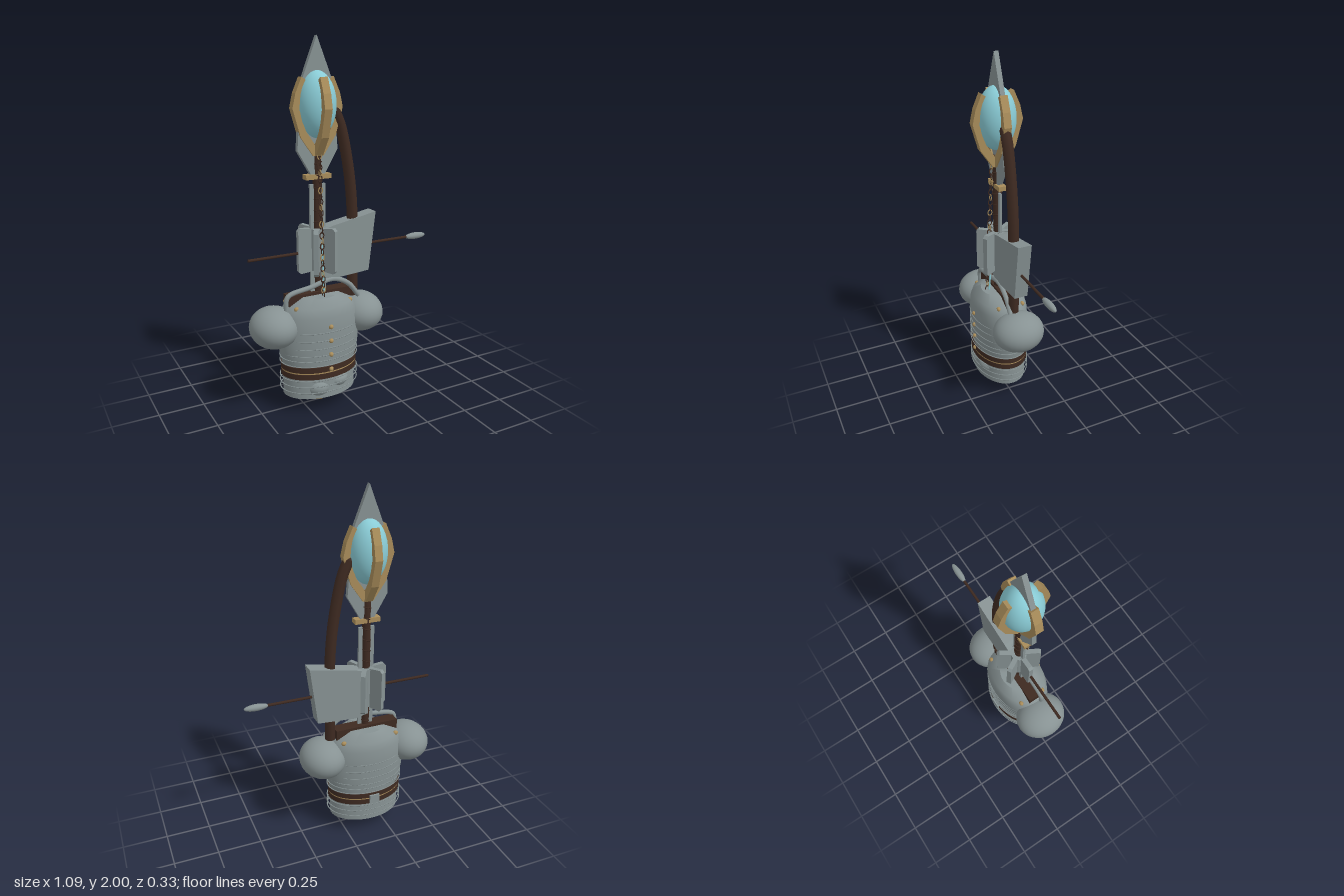
import * as THREE from 'three';
import { toCreasedNormals } from 'three/addons/utils/BufferGeometryUtils.js';

const CX = -0.15; // axis shared by the armour and the upright weapons

export function createModel() {
  const root = new THREE.Group();
  root.name = 'armourAndWeapons';
  const mat = (name, color) => {
    const m = new THREE.MeshStandardMaterial({ color });
    m.name = name;
    return m;
  };
  const steel = mat('steel', 0x879293);
  const wood = mat('darkBrown', 0x3e2a21);
  const gold = mat('brass', 0xa88c5a);
  const crystal = mat('paleBlue', 0x8accd6);

  const add = (name, geo, material, x = 0, y = 0, z = 0) => {
    const m = new THREE.Mesh(geo, material);
    m.name = name;
    m.position.set(x, y, z);
    root.add(m);
    return m;
  };
  const box = (name, w, h, d, material, x, y, z) =>
    add(name, new THREE.BoxGeometry(w, h, d), material, x, y, z);
  const ball = (name, rx, ry, rz, material, x, y, z) =>
    add(name, new THREE.SphereGeometry(1, 28, 18), material, x, y, z).scale.set(rx, ry, rz);
  const tube = (name, pts, r, material, sides = 8, steps = 24) => {
    const curve = new THREE.CatmullRomCurve3(pts.map(p => new THREE.Vector3(...p)));
    return add(name, new THREE.TubeGeometry(curve, steps, r, sides), material);
  };
  // Turned shell with its own width and depth at each height: rows of [y, rx, rz]
  const shell = (name, rows, material) => {
    const geo = new THREE.LatheGeometry(rows.map(([y, rx]) => new THREE.Vector2(rx, y)), 40);
    const p = geo.attributes.position;
    for (let i = 0; i < p.count; i++) {
      const [, rx, rz] = rows[i % rows.length];
      if (rx > 0) p.setZ(i, p.getZ(i) * rz / rx);
    }
    return add(name, toCreasedNormals(geo, 0.7), material, CX);
  };
  const plate = (name, pts, depth, material, x = 0, y = 0, z = 0) => {
    const geo = new THREE.ExtrudeGeometry(
      new THREE.Shape(pts.map(p => new THREE.Vector2(...p))), { depth, bevelEnabled: false });
    geo.translate(0, 0, -depth / 2);
    return add(name, geo, material, x, y, z);
  };

  // Breastplate and skirt
  shell('breastplate', [
    [0.2, 0, 0], [0.2, 0.205, 0.14], [0.28, 0.218, 0.148], [0.37, 0.236, 0.152], [0.48, 0.235, 0.155],
    [0.55, 0.222, 0.152], [0.6, 0.195, 0.14], [0.645, 0.11, 0.1], [0.645, 0, 0],
  ], steel);
  shell('skirt', [
    [0.085, 0, 0], [0.085, 0.211, 0.144], [0.2, 0.21, 0.143], [0.2, 0, 0],
  ], steel);

  // Belt: two leather bands with a brass strip between
  const band = (name, y0, y1, rx, rz, material) =>
    shell(name, [[y0, 0, 0], [y0, rx, rz], [y1, rx, rz], [y1, 0, 0]], material);
  band('lowerBelt', 0.203, 0.234, 0.222, 0.155, wood);
  band('beltTrim', 0.234, 0.242, 0.22, 0.153, gold);
  band('upperBelt', 0.242, 0.272, 0.222, 0.155, wood);
  box('beltKnot', 0.06, 0.05, 0.02, steel, CX, 0.235, -0.155);

  // Thin hoops around the armour
  for (const y of [0.125, 0.16, 0.195, 0.28, 0.31, 0.34, 0.38, 0.425, 0.47]) {
    const hoop = add('hoop', new THREE.TorusGeometry(1, 0.016, 5, 48), steel, CX, y);
    hoop.rotation.x = Math.PI / 2;
    hoop.scale.set(0.226, 0.157, 0.18);
  }

  // Pouches, bottom finial, buttons and rivets
  ball('pouch', 0.085, 0.07, 0.1, steel, -0.2, 0.14, 0.055);
  ball('pouch', 0.08, 0.055, 0.09, steel, -0.09, 0.165, 0.062);
  ball('bottomFinial', 0.045, 0.045, 0.04, gold, CX, 0.045, 0);
  for (const y of [0.255, 0.34, 0.42, 0.5]) ball('button', 0.013, 0.013, 0.013, gold, CX, y, 0.154);
  for (const sx of [-1, 1])
    for (const z of [-0.08, 0.068])
      ball('rivet', 0.015, 0.013, 0.012, gold, CX + sx * 0.16, 0.598, z);

  // Shoulder guards
  for (const sx of [-1, 1])
    ball('shoulderGuard', 0.132, 0.112, 0.148, steel, CX + sx * 0.262, 0.49, -0.008);

  // Leather collar and strap over it
  box('collar', 0.375, 0.09, 0.07, wood, CX, 0.615, -0.005);
  tube('strap', [[-0.355, 0.58, 0.03], [-0.345, 0.66, 0.03], [-0.21, 0.693, 0.03],
    [-0.07, 0.72, 0.03], [0.02, 0.68, 0.03], [0.085, 0.6, 0.03]], 0.014, steel, 8, 40);

  // Staff with a spiral wrap, backing blade and cross guard
  add('staff', new THREE.CylinderGeometry(0.024, 0.024, 0.84, 10), wood, CX, 1.04, 0);
  box('narrowBlade', 0.09, 0.6, 0.014, steel, CX, 0.95, 0);
  for (let i = 0; i < 12; i++) {
    const wrap = add('staffWrap', new THREE.TorusGeometry(0.025, 0.003, 5, 14), wood, CX, 0.68 + i * 0.062);
    wrap.rotation.set(Math.PI / 2, 0.25, 0);
  }
  box('crossGuard', 0.145, 0.026, 0.045, gold, CX, 1.29, 0);

  // Hanging chain in front of the staff
  for (let i = 0; i < 26; i++) {
    const t = i / 25;
    const link = add('chainLink', new THREE.TorusGeometry(0.012, 0.003, 5, 10),
      i % 3 ? wood : gold, CX, 1.4 - 0.75 * t, 0.032 + 0.036 * t);
    link.scale.y = 1.4;
    link.rotation.y = i % 2 ? Math.PI / 2 : 0;
  }
  tube('blueCord', [[CX + 0.008, 1.0, 0.035], [CX + 0.008, 0.8, 0.048], [CX + 0.008, 0.64, 0.06]], 0.005, crystal, 6, 8);

  // Spear head behind the crystal: diamond-section blade
  plate('spearHead', [[0, 2], [-0.09, 1.77], [-0.115, 1.43], [-0.03, 1.285],
    [0.03, 1.285], [0.115, 1.43], [0.09, 1.77]], 0.026, steel, CX);

  // Crystal held by four claws
  ball('crystal', 0.104, 0.172, 0.104, crystal, CX, 1.66, 0);
  for (let i = 0; i < 4; i++) {
    const claw = plate('claw', [[0.0, 1.4], [0.03, 1.4], [0.1, 1.5], [0.142, 1.645], [0.125, 1.72],
      [0.09, 1.8], [0.068, 1.785], [0.097, 1.7], [0.105, 1.64], [0.07, 1.53], [0.0, 1.43]], 0.042, gold, CX);
    claw.rotation.y = i * Math.PI / 2;
  }

  // Six-flanged mace head
  add('maceCore', new THREE.CylinderGeometry(0.045, 0.045, 0.23, 12), steel, CX, 0.895, 0);
  for (let i = 0; i < 6; i++) {
    const flange = plate('maceFlange', [[0, 0.78], [0.105, 0.77], [0.119, 0.785],
      [0.119, 1.005], [0.105, 1.02], [0, 1.01]], 0.026, steel, CX);
    flange.rotation.y = i * Math.PI / 3;
  }

  // Axe head
  plate('axeHead', [[CX, 0.74], [-0.075, 0.722], [0.148, 0.738], [0.19, 1.07],
    [-0.075, 1.02], [CX, 1.0]], 0.078, steel, 0, 0, -0.004);

  // Curved haft beside the staff
  const haft = [[-0.045, 1.625, 0], [-0.012, 1.55, 0], [0.03, 1.36, 0], [0.056, 1.15, 0], [0.063, 0.9, 0], [0.062, 0.6, 0]];
  tube('curvedHaft', haft, 0.031, wood, 8, 28);
  add('haftCap', new THREE.SphereGeometry(0.031, 8, 6), wood, -0.045, 1.622, 0);

  // Arrow lying across
  const shaft = add('arrowShaft', new THREE.CylinderGeometry(0.008, 0.008, 0.97, 8), wood, -0.063, 0.885, 0.002);
  shaft.rotation.z = Math.PI / 2;
  ball('arrowHead', 0.068, 0.019, 0.019, steel, 0.478, 0.885, 0.002);

  return root;
}
